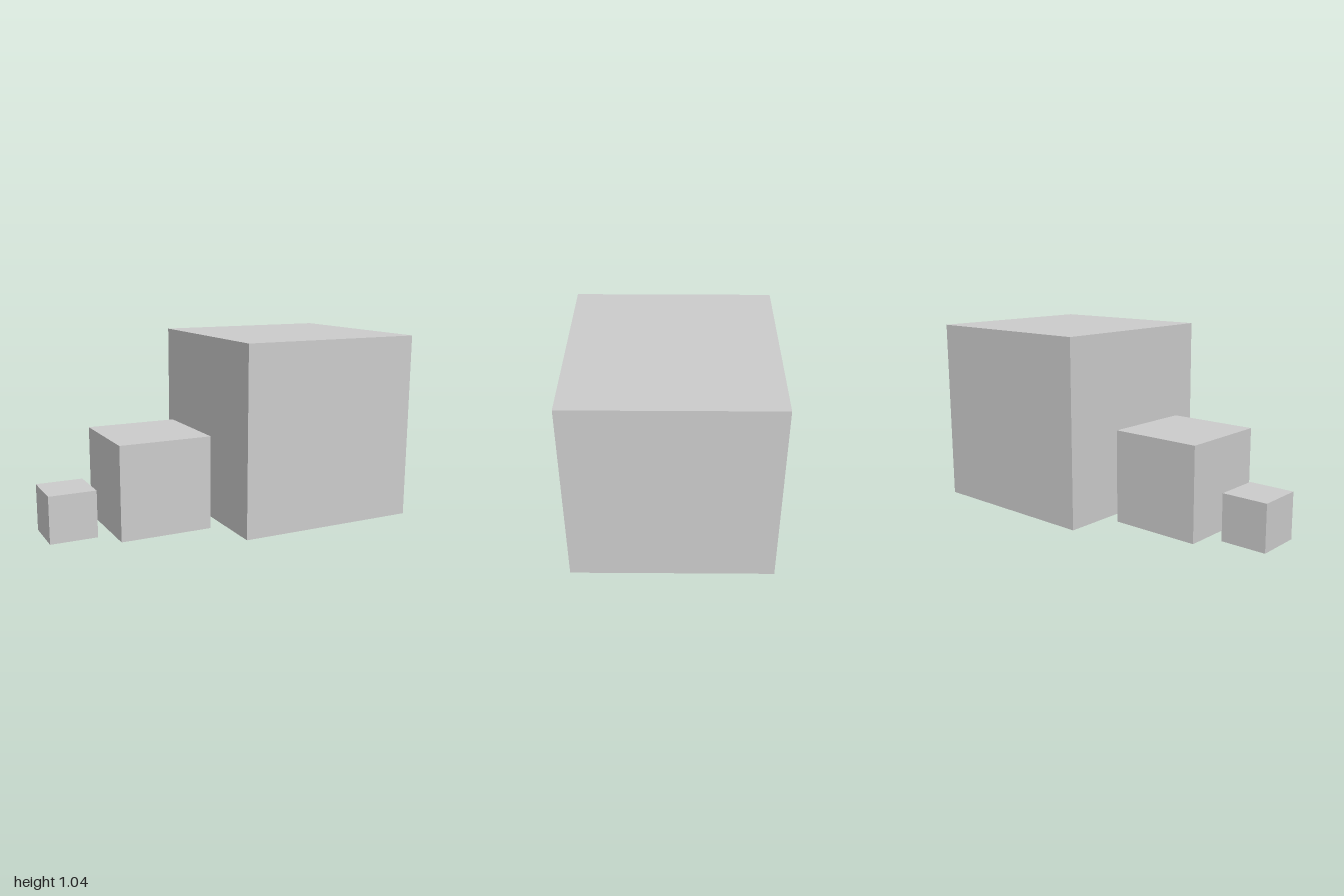
import * as THREE from 'three';

// Three cubes in a row, each twice the size of the one before
export function createModel() {
  const group = new THREE.Group();
  const material = new THREE.MeshStandardMaterial({ color: 0xcccccc, flatShading: true });
  const unit = 2 / 23; // gap between neighbouring cubes
  const cubes = [
    ['smallCube', 3 * unit],
    ['mediumCube', 6 * unit],
    ['largeCube', 12 * unit],
  ];

  let x = -1;
  for (const [name, size] of cubes) {
    const cube = new THREE.Mesh(new THREE.BoxGeometry(size, size, size), material);
    cube.name = name;
    cube.position.set(x + size / 2, size / 2, 0);
    group.add(cube);
    x += size + unit;
  }
  return group;
}
